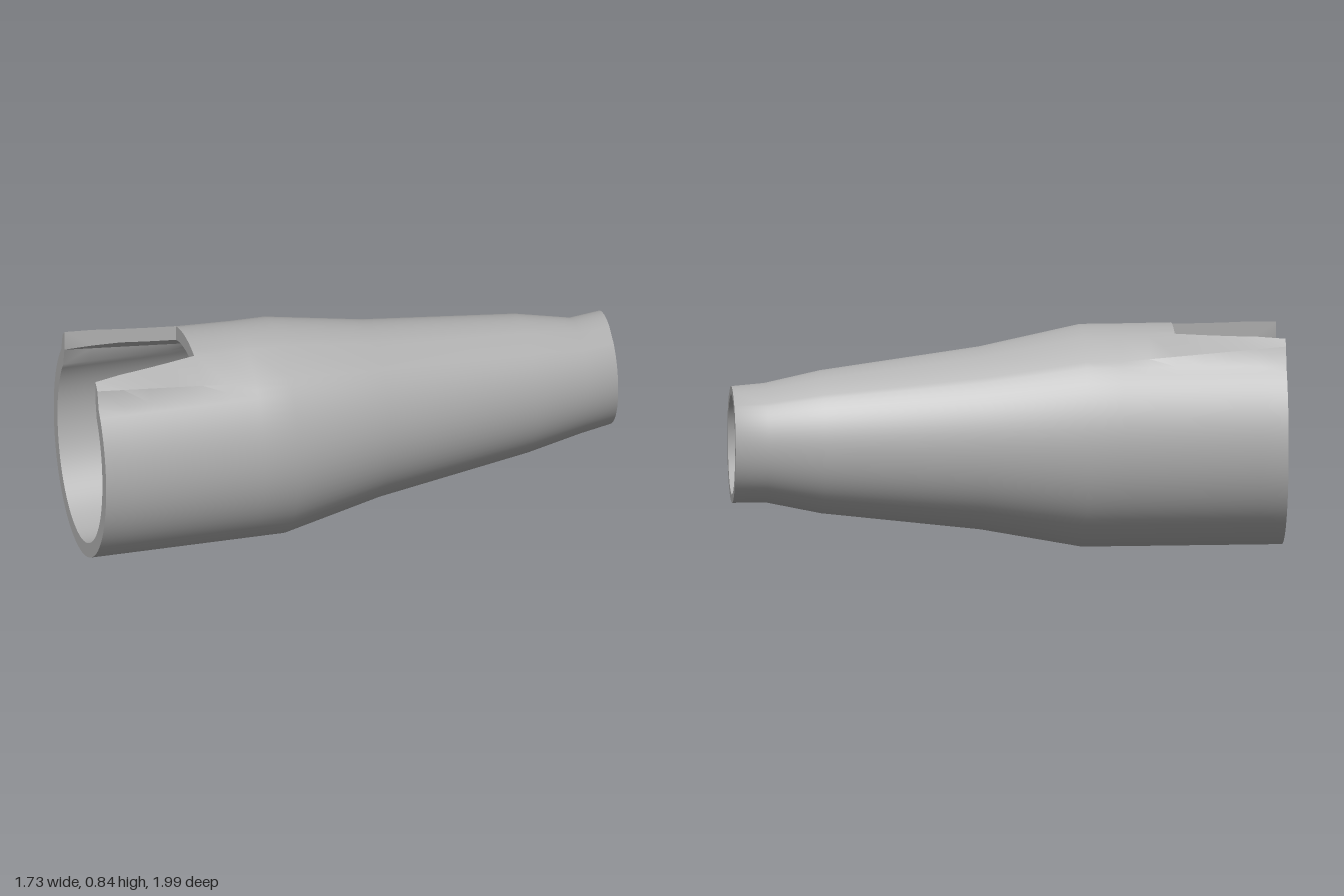
import * as THREE from 'three';
import { toCreasedNormals } from 'three/addons/utils/BufferGeometryUtils.js';

const SIDE = new THREE.Vector3(0.735, 0, 0.678); // horizontal direction across the tube
const CENTRE_Y = 0.42;
const LENGTH = 0.754;       // length of the straight wide part
const NOTCH_RING = 4;       // ring where the notch ends
const LIP_END = 0.62;       // raised lip fades out at this distance

// Oval sections: centre x, centre z, half width, half height, wall thickness
const sections = [
  [-0.60, 0.745, 0.365, 0.42, 0.052],
  [-0.09, 0.19, 0.365, 0.42, 0.052],
  [0.145, -0.115, 0.302, 0.345, 0.045],
  [0.52, -0.59, 0.235, 0.27, 0.036],
  [0.66, -0.75, 0.195, 0.225, 0.03],
  [0.72, -0.868, 0.193, 0.22, 0.03],
];

// Extra rings along the straight part for the notch and its lip
const rings = [0, 0.136, 0.272, 0.408, 0.544, 0.68, 0.82].map((f) => ({
  t: f * LENGTH,
  s: sections[0].map((a, k) => a + (sections[1][k] - a) * f),
}));
sections.slice(1).forEach((s, i) => rings.push({ t: LENGTH + i, s }));

// One ring of points: right side, left side, then the strip over the top
function ringPoints({ t, s: [cx, cz, h0, v0, wall] }, inner) {
  const h = inner ? h0 - wall : h0;
  const v = inner ? v0 - wall * 1.06 : v0;
  const f = Math.min(1, t / (0.544 * LENGTH));
  const half = (0.215 + (0.127 - 0.215) * f) * (h0 / 0.365);
  const edge = Math.asin(half / h);
  const start = inner ? 0.745 : 0.715;
  const full = inner ? 0.69 : 0.665;
  const a0 = Math.asin(start);
  const right = [edge, Math.asin(full), a0];
  for (let k = 1; k <= 28; k++) right.push(a0 + (Math.PI - a0) * k / 28);
  const left = right.slice(0, -1).reverse().map((a) => 2 * Math.PI - a);
  const strip = [];
  for (let k = 1; k < 8; k++) strip.push(2 * Math.PI - edge + 2 * edge * k / 8);
  const points = [...right, ...left, ...strip].map((a) => {
    const x = Math.sin(a), c = Math.cos(a);
    let lift = 0;
    if (c > 0) {
      const step = THREE.MathUtils.clamp((start - Math.abs(x)) / (start - full), 0, 1);
      const fade = Math.min(1, (Math.abs(x) / 0.55) ** 2);
      lift = 0.05 * Math.max(0, 1 - t / LIP_END) * step * fade;
    }
    return new THREE.Vector3(cx, CENTRE_Y + v * c + lift, cz).addScaledVector(SIDE, h * x);
  });
  return { points, body: right.length + left.length };
}

function sleeveGeometry() {
  const outerRings = rings.map((r) => ringPoints(r, false));
  const body = outerRings[0].body;
  const O = outerRings.map((r) => r.points);
  const I = rings.map((r) => ringPoints(r, true).points);
  const n = O[0].length, last = rings.length - 1;
  const pos = [];
  const quad = (a, b, c, d) => {
    for (const p of [a, b, c, a, c, d]) pos.push(p.x, p.y, p.z);
  };
  const inNotch = (j) => j >= body - 1;

  for (let j = 0; j < n; j++) {
    const k = (j + 1) % n;
    // Outer and inner walls, leaving the notch open
    for (let i = inNotch(j) ? NOTCH_RING : 0; i < last; i++) {
      quad(O[i][j], O[i][k], O[i + 1][k], O[i + 1][j]);
      quad(I[i][j], I[i + 1][j], I[i + 1][k], I[i][k]);
    }
    // Wide rim or back of the notch, and narrow rim
    const r = inNotch(j) ? NOTCH_RING : 0;
    quad(O[r][j], I[r][j], I[r][k], O[r][k]);
    quad(O[last][j], O[last][k], I[last][k], I[last][j]);
  }
  // Side walls of the notch
  const e = body - 1;
  for (let i = 0; i < NOTCH_RING; i++) {
    quad(O[i][0], O[i + 1][0], I[i + 1][0], I[i][0]);
    quad(O[i][e], I[i][e], I[i + 1][e], O[i + 1][e]);
  }
  const geometry = new THREE.BufferGeometry();
  geometry.setAttribute('position', new THREE.Float32BufferAttribute(pos, 3));
  return toCreasedNormals(geometry, 0.5);
}

export function createModel() {
  const group = new THREE.Group();
  group.name = 'taperedSleeve';
  const grey = new THREE.MeshStandardMaterial({ color: 0xb0b0b0 });
  grey.name = 'grey';
  const sleeve = new THREE.Mesh(sleeveGeometry(), grey);
  sleeve.name = 'notchedSleeve';
  group.add(sleeve);
  return group;
}
